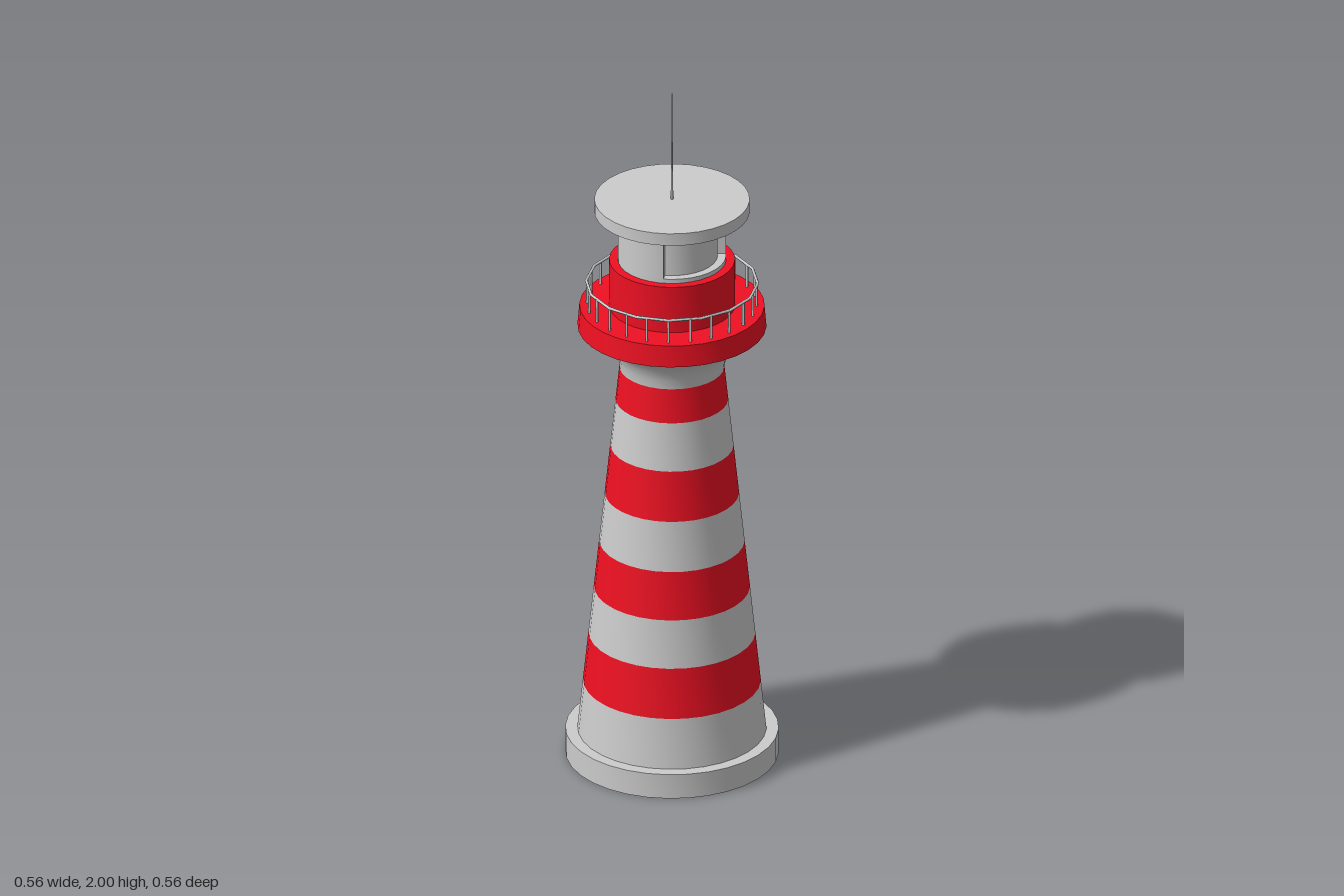
import * as THREE from 'three';
import { toCreasedNormals } from 'three/addons/utils/BufferGeometryUtils.js';

const SEG = 32;
const grey = new THREE.MeshStandardMaterial({ color: 0xcccccc });
const red = new THREE.MeshStandardMaterial({ color: 0xee1022 });

export function createModel() {
  const model = new THREE.Group();

  const add = (name, geometry, material, parent = model) => {
    const mesh = new THREE.Mesh(geometry, material);
    mesh.name = name;
    parent.add(mesh);
    return mesh;
  };
  // Turned solid from [radius, height] pairs, outer side listed upwards
  const turn = (name, points, material, parent) => {
    const profile = points.map(([r, y]) => new THREE.Vector2(r, y));
    const geometry = toCreasedNormals(new THREE.LatheGeometry(profile, SEG), 0.6);
    return add(name, geometry, material, parent);
  };
  const disc = (name, r, y0, y1, material, parent) =>
    turn(name, [[0, y0], [r, y0], [r, y1], [0, y1]], material, parent);

  // Foundation ring, open underneath
  turn('foundation', [[0.25, 0], [0.28, 0], [0.28, 0.07], [0.225, 0.07], [0.25, 0.07], [0.25, 0]], grey);

  // Hollow tapering tower in alternating bands
  const tower = new THREE.Group();
  tower.name = 'tower';
  model.add(tower);
  const levels = [0.07, 0.21, 0.35, 0.485, 0.62, 0.76, 0.9, 1.035, 1.13];
  const radius = (y) => THREE.MathUtils.mapLinear(y, 0.07, 1.13, 0.248, 0.138);
  const wall = 0.022;
  for (let i = 0; i < levels.length - 1; i++) {
    const [a, b] = [levels[i], levels[i + 1]];
    const [ra, rb] = [radius(a), radius(b)];
    turn(i % 2 ? 'redBand' : 'greyBand',
      [[ra - wall, a], [ra, a], [rb, b], [rb - wall, b], [ra - wall, a]], i % 2 ? red : grey, tower);
  }

  // Flared support under the gallery
  turn('flare', [
    [0, 1.13], [0.138, 1.13], [0.141, 1.155], [0.149, 1.18], [0.164, 1.203],
    [0.188, 1.222], [0.215, 1.238], [0.24, 1.25], [0, 1.25],
  ], grey);

  // Gallery deck and the drum standing on it
  turn('galleryDeck', [[0, 1.25], [0.248, 1.25], [0.243, 1.31], [0, 1.31]], red);
  disc('drum', 0.165, 1.31, 1.443, red);

  // Railing: sixteen-sided top rail on thin posts
  const railing = new THREE.Group();
  railing.name = 'railing';
  model.add(railing);
  const rail = add('topRail', new THREE.TorusGeometry(0.225, 0.004, 6, 16), grey, railing);
  rail.rotation.x = Math.PI / 2;
  rail.position.y = 1.376;
  for (let i = 0; i < 24; i++) {
    const angle = (i / 24) * Math.PI * 2;
    const post = add('railPost', new THREE.CylinderGeometry(0.0035, 0.0035, 0.07, 6), grey, railing);
    post.position.set(Math.sin(angle) * 0.222, 1.342, Math.cos(angle) * 0.222);
  }

  // Lantern room: core, two rings and side walls leaving front and back windows
  const lantern = new THREE.Group();
  lantern.name = 'lanternRoom';
  model.add(lantern);
  disc('lanternCore', 0.12, 1.44, 1.59, grey, lantern);
  disc('lowerRing', 0.142, 1.44, 1.455, grey, lantern);
  disc('upperRing', 0.142, 1.565, 1.59, grey, lantern);
  const half = 0.67;
  for (const middle of [0, Math.PI]) {
    const shape = new THREE.Shape();
    shape.absarc(0, 0, 0.142, middle - half, middle + half, false);
    shape.absarc(0, 0, 0.115, middle + half, middle - half, true);
    shape.closePath();
    const geometry = new THREE.ExtrudeGeometry(shape, { depth: 0.11, bevelEnabled: false, curveSegments: 8 });
    geometry.rotateX(-Math.PI / 2).translate(0, 1.455, 0);
    add('lanternWall', toCreasedNormals(geometry, 0.6), grey, lantern);
  }

  // Flat roof and tapering mast
  disc('roof', 0.204, 1.585, 1.62, grey);
  const mast = add('mast', new THREE.ConeGeometry(0.0035, 0.38, 8), grey);
  mast.position.y = 1.81;

  return model;
}
